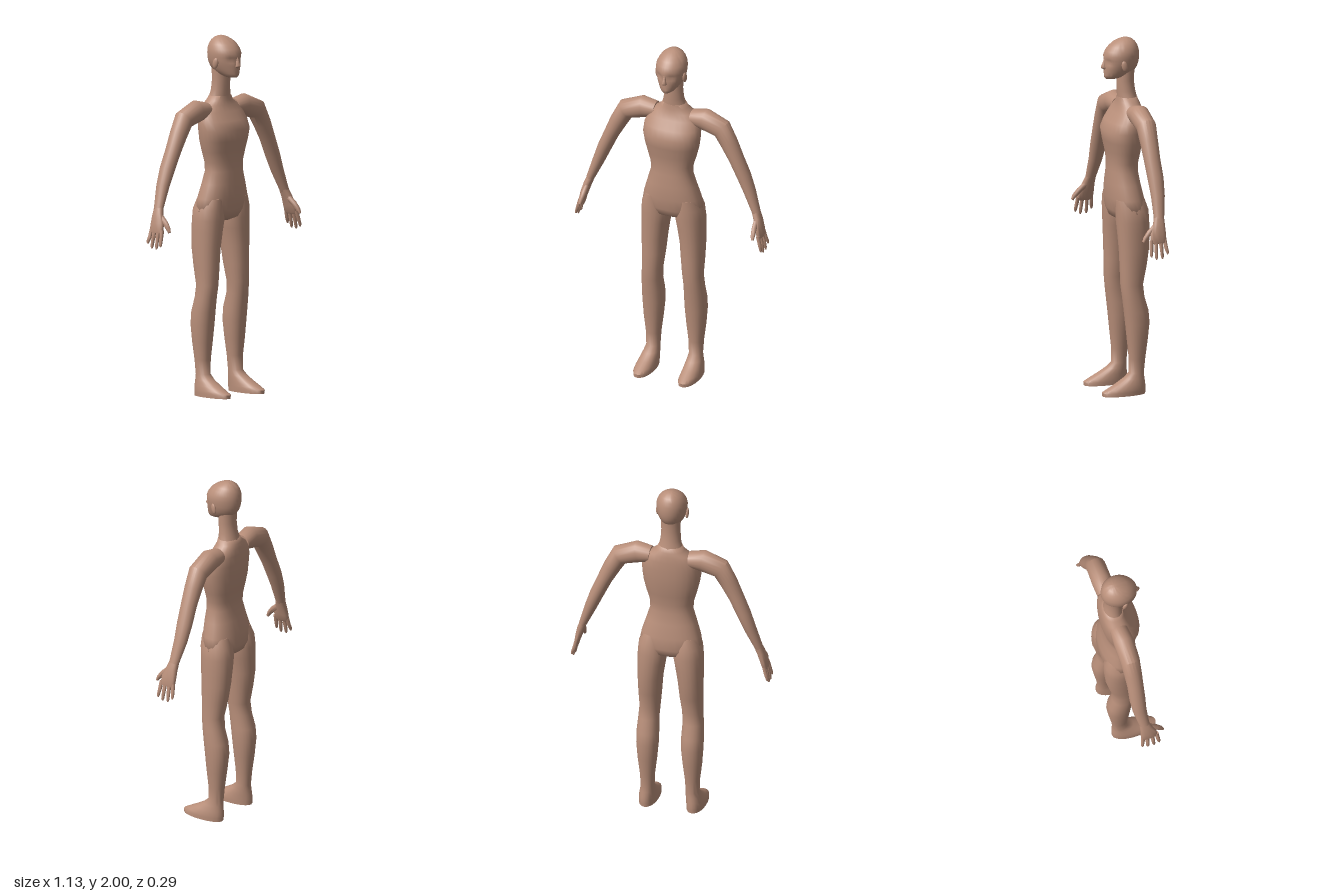
import * as THREE from 'three';
import { toCreasedNormals } from 'three/addons/utils/BufferGeometryUtils.js';

const skin = new THREE.MeshStandardMaterial({ color: 0xb98f7a });
skin.name = 'skin';
const UP = new THREE.Vector3(0, 1, 0);

// Skin a row of oval rings [x, y, z, radius along z, radius across]; axis fixes the ring direction.
function loft(name, rings, { axis = null, sides = 20, power = 1, crease = 1.1, shape = null } = {}) {
  const pos = [], index = [];
  const centres = rings.map(r => new THREE.Vector3(r[0], r[1], r[2]));
  const bend = v => Math.sign(v) * Math.abs(v) ** power;
  centres.forEach((c, i) => {
    const before = centres[Math.max(i - 1, 0)], after = centres[Math.min(i + 1, centres.length - 1)];
    const t = axis ? axis.clone() : after.clone().sub(before).normalize();
    const u = new THREE.Vector3(0, 0, 1).addScaledVector(t, -t.z).normalize();
    const v = t.clone().cross(u);
    for (let j = 0; j < sides; j++) {
      const a = j / sides * Math.PI * 2;
      const p = c.clone().addScaledVector(u, bend(Math.cos(a)) * rings[i][3])
        .addScaledVector(v, bend(Math.sin(a)) * rings[i][4]);
      if (shape) shape(p);
      pos.push(p.x, p.y, p.z);
    }
  });
  const last = centres.length - 1;
  for (let i = 0; i < last; i++) for (let j = 0; j < sides; j++) {
    const a = i * sides + j, b = i * sides + (j + 1) % sides;
    index.push(a, b, a + sides, b, b + sides, a + sides);
  }
  // end caps
  const first = pos.length / 3;
  pos.push(...centres[0].toArray(), ...centres[last].toArray());
  for (let j = 0; j < sides; j++) {
    const k = (j + 1) % sides;
    index.push(first, k, j, first + 1, last * sides + j, last * sides + k);
  }
  const g = new THREE.BufferGeometry();
  g.setAttribute('position', new THREE.Float32BufferAttribute(pos, 3));
  g.setIndex(index);
  const mesh = new THREE.Mesh(toCreasedNormals(g, crease), skin);
  mesh.name = name;
  return mesh;
}

// Level rings written as [y, front z, back z, half width, centre x].
const level = (rows, s = 1) => rows.map(([y, f, b, w, x = 0]) => [x * s, y, (f + b) / 2, (f - b) / 2, w]);

function buildTorso() {
  return loft('torso', level([
    [0.972, 0.0, -0.09, 0.03], [0.99, 0.035, -0.13, 0.12], [1.03, 0.048, -0.14, 0.18],
    [1.1, 0.058, -0.135, 0.167], [1.18, 0.057, -0.118, 0.142], [1.25, 0.052, -0.106, 0.121],
    [1.3, 0.05, -0.107, 0.124], [1.36, 0.057, -0.117, 0.142], [1.42, 0.07, -0.127, 0.157],
    [1.48, 0.079, -0.131, 0.166], [1.53, 0.055, -0.132, 0.165], [1.58, 0.022, -0.13, 0.15],
    [1.615, 0.006, -0.126, 0.12], [1.64, 0.0, -0.12, 0.08], [1.665, -0.003, -0.11, 0.066],
  ]), { axis: UP, sides: 28, power: 0.88, crease: 1.3 });
}

function buildHead() {
  const head = new THREE.Group();
  head.name = 'head';
  head.add(loft('neck', level([
    [1.62, -0.005, -0.122, 0.085], [1.66, -0.004, -0.112, 0.067], [1.7, -0.002, -0.102, 0.057],
    [1.76, 0.0, -0.095, 0.054], [1.83, 0.0, -0.1, 0.056],
  ]), { axis: UP }));
  // hollow the eye sockets
  const sockets = p => {
    if (p.z < 0.02) return;
    const d = ((Math.abs(p.x) - 0.036) / 0.02) ** 2 + ((p.y - 1.872) / 0.016) ** 2;
    p.z -= 0.011 * Math.exp(-d);
  };
  head.add(loft('skull', level([
    [1.773, 0.068, -0.005, 0.024], [1.78, 0.075, -0.03, 0.036], [1.795, 0.077, -0.07, 0.05],
    [1.815, 0.077, -0.1, 0.063], [1.835, 0.077, -0.113, 0.072], [1.855, 0.078, -0.12, 0.079],
    [1.87, 0.078, -0.123, 0.082], [1.885, 0.079, -0.125, 0.084], [1.905, 0.078, -0.125, 0.086],
    [1.93, 0.067, -0.123, 0.083], [1.955, 0.047, -0.115, 0.072], [1.975, 0.022, -0.103, 0.057],
    [1.99, -0.008, -0.085, 0.036], [1.998, -0.032, -0.065, 0.016], [2.0, -0.046, -0.052, 0.003],
  ]), { axis: UP, sides: 36, crease: 1.4, shape: sockets }));
  head.add(loft('nose', level([
    [1.826, 0.078, 0.055, 0.009], [1.834, 0.094, 0.055, 0.015], [1.842, 0.098, 0.055, 0.013],
    [1.86, 0.089, 0.055, 0.009], [1.885, 0.08, 0.055, 0.007],
  ]), { axis: UP, sides: 10 }));
  for (const s of [1, -1]) {
    const ear = new THREE.Mesh(new THREE.SphereGeometry(1, 14, 10), skin);
    ear.name = s > 0 ? 'leftEar' : 'rightEar';
    ear.scale.set(0.01, 0.031, 0.017);
    ear.position.set(s * 0.083, 1.853, -0.012);
    ear.rotation.set(0.2, s * -0.25, 0);
    head.add(ear);
  }
  return head;
}

function buildLeg(s) {
  // sole, foot and ankle rise into the calf, knee and thigh
  return loft(s > 0 ? 'leftLeg' : 'rightLeg', level([
    [0, 0.143, -0.11, 0.052, 0.136], [0.02, 0.145, -0.112, 0.053, 0.136],
    [0.035, 0.118, -0.112, 0.052, 0.136], [0.06, 0.068, -0.11, 0.048, 0.134],
    [0.09, 0.015, -0.106, 0.043, 0.131], [0.12, -0.02, -0.104, 0.038, 0.129],
    [0.2, -0.02, -0.112, 0.042, 0.129], [0.3, -0.01, -0.125, 0.054, 0.129],
    [0.4, 0.0, -0.136, 0.062, 0.128], [0.47, 0.008, -0.13, 0.062, 0.128],
    [0.55, 0.018, -0.106, 0.058, 0.127], [0.62, 0.026, -0.1, 0.058, 0.122],
    [0.72, 0.028, -0.122, 0.065, 0.118], [0.82, 0.032, -0.138, 0.07, 0.115],
    [0.92, 0.038, -0.143, 0.078, 0.107], [0.98, 0.042, -0.143, 0.084, 0.101],
    [1.04, 0.045, -0.139, 0.079, 0.1], [1.1, 0.045, -0.12, 0.06, 0.095],
  ], s), { axis: UP, sides: 22, power: 0.92, crease: 1.0 });
}

function buildArm(s) {
  const side = s > 0 ? 'left' : 'right';
  const arm = new THREE.Group();
  arm.name = side + 'ArmAndHand';
  const add = (name, rings, options) =>
    arm.add(loft(name, rings.map(([x, ...rest]) => [x * s, ...rest]), options));

  add(side + 'Arm', [
    [0.11, 1.59, -0.06, 0.05, 0.044], [0.185, 1.592, -0.058, 0.057, 0.062],
    [0.29, 1.555, -0.056, 0.055, 0.057], [0.335, 1.475, -0.055, 0.05, 0.049],
    [0.377, 1.39, -0.055, 0.046, 0.042], [0.422, 1.29, -0.058, 0.045, 0.039],
    [0.458, 1.2, -0.057, 0.039, 0.033], [0.505, 1.08, -0.045, 0.029, 0.022],
  ], { crease: 0.7 });
  add('palm', [
    [0.5, 1.09, -0.046, 0.028, 0.021], [0.516, 1.05, -0.04, 0.034, 0.021],
    [0.53, 1.0, -0.03, 0.046, 0.018], [0.54, 0.96, -0.028, 0.047, 0.014],
    [0.543, 0.95, -0.028, 0.043, 0.01],
  ], { sides: 16, power: 0.8 });
  // four fingers, front to back
  [[0.88, 0.014, 0.022], [0.865, -0.013, -0.008], [0.867, -0.04, -0.043], [0.89, -0.064, -0.074]]
    .forEach(([tip, root, end]) => add('finger', [
      [0.538, 0.97, root, 0.012, 0.011], [0.55, 0.925, (root + end) / 2, 0.011, 0.01],
      [0.559, tip + 0.012, end, 0.009, 0.008], [0.561, tip, end, 0.004, 0.004],
    ], { sides: 8 }));
  add('thumb', [
    [0.513, 1.045, -0.025, 0.018, 0.014], [0.517, 1.01, 0.018, 0.016, 0.015],
    [0.521, 0.982, 0.043, 0.013, 0.013], [0.523, 0.96, 0.056, 0.008, 0.008],
  ], { sides: 8 });
  return arm;
}

export function createModel() {
  const figure = new THREE.Group();
  figure.name = 'figure';
  figure.add(buildTorso(), buildHead());
  for (const s of [1, -1]) figure.add(buildLeg(s), buildArm(s));
  return figure;
}
